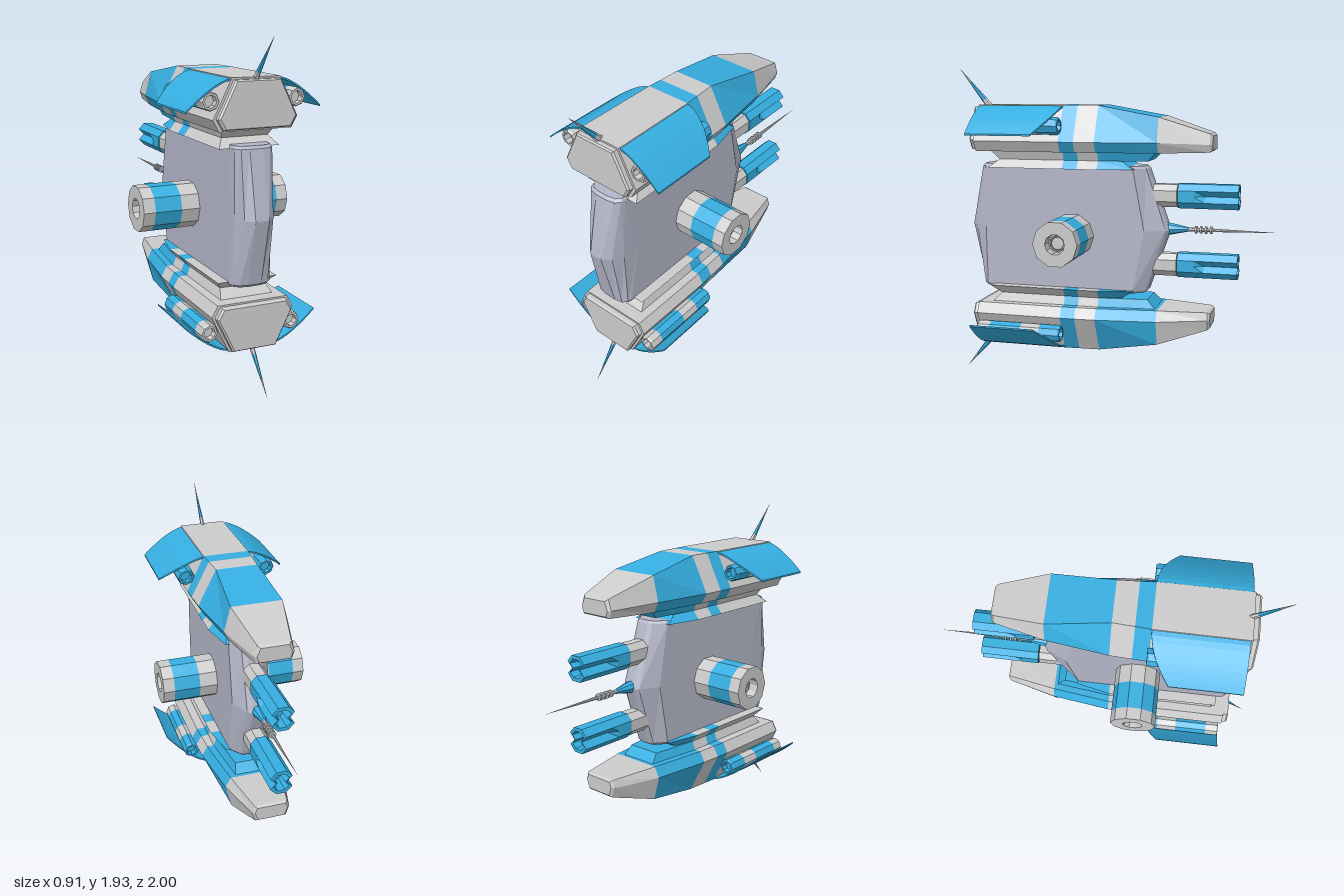
import * as THREE from 'three';

const material = (color) => new THREE.MeshStandardMaterial({ color, flatShading: true });
const grey = material(0xcccccc);
const blue = material(0x35aee0);
const slate = material(0xb4b6c8);
const glow = material(0xa8d8c8);
const MID = 0.967; // height of the symmetry plane

function add(parent, name, geometry, mat) {
  const mesh = new THREE.Mesh(geometry, mat);
  mesh.name = name;
  parent.add(mesh);
  return mesh;
}

function group(parent, name) {
  const g = new THREE.Group();
  g.name = name;
  parent.add(g);
  return g;
}

// Skin through equal-length rings of [x, y, z], with optional end caps, facing outward
function loft(rings, capStart = true, capEnd = true) {
  const V = rings.map((r) => r.map((p) => new THREE.Vector3(...p)));
  const centre = (pts) => pts.reduce((s, p) => s.add(p), new THREE.Vector3()).divideScalar(pts.length);
  const tris = [];
  const n = V[0].length;
  for (let i = 0; i < V.length - 1; i++) {
    for (let j = 0; j < n; j++) {
      const k = (j + 1) % n;
      tris.push([V[i][j], V[i][k], V[i + 1][k]], [V[i][j], V[i + 1][k], V[i + 1][j]]);
    }
  }
  const last = V[V.length - 1];
  const c0 = centre(V[0]), c1 = centre(last);
  for (let j = 0; j < n; j++) {
    const k = (j + 1) % n;
    if (capStart) tris.push([c0, V[0][k], V[0][j]]);
    if (capEnd) tris.push([c1, last[j], last[k]]);
  }
  const mid = centre(V.flat());
  let volume = 0;
  for (const [a, b, c] of tris) {
    volume += a.clone().sub(mid).dot(b.clone().sub(mid).cross(c.clone().sub(mid)));
  }
  const points = tris.flatMap((t) => (volume < 0 ? [t[0], t[2], t[1]] : t));
  const geometry = new THREE.BufferGeometry().setFromPoints(points);
  geometry.computeVertexNormals();
  return geometry;
}

// Turned part from [radius, height] pairs
const lathe = (profile, sides) =>
  new THREE.LatheGeometry(profile.map(([r, y]) => new THREE.Vector2(r, y)), sides);

// Mirror a half outline of [x, ...rest] into a closed ring
const mirrorRing = (half) => [...half, ...half.map(([x, ...r]) => [-x, ...r]).reverse()];

// Tall central slab with a faceted front edge
function addSlab(root) {
  const middle = [[0.04, 0.91], [0.085, 0.87], [0.11, 0.8], [0.115, 0.69], [0.115, -0.21], [0.06, -0.33], [0.03, -0.35]];
  const end = [[0.04, 0.83], [0.085, 0.82], [0.11, 0.795], [0.115, 0.77], [0.115, -0.14], [0.06, -0.21], [0.03, -0.22]];
  const ring = (half, y, s = 1) => mirrorRing(half.map(([x, z]) => [x * s, y, 0.3 + (z - 0.3) * (s + 1) / 2]));
  add(root, 'centralSlab', loft([
    ring(end, MID - 0.385, 0.94), ring(end, MID - 0.37), ring(middle, MID),
    ring(end, MID + 0.37), ring(end, MID + 0.385, 0.94),
  ]), slate);
}

// Hull ring: half widths and heights of the top, shoulder and bottom edges
const hullRing = ([z, t, yt, m, ym, b, yb], s = 1) =>
  mirrorRing([[t, yt], [m, ym], [b, yb]].map(([x, y]) => [x * s, 0.605 + (y - 0.605) * s, z]));

function addHull(pod) {
  const keys = [
    [0.815, 0.14, 0.743, 0.245, 0.53, 0.21, 0.468],
    [0.28, 0.138, 0.743, 0.245, 0.53, 0.21, 0.468],
    [0.19, 0.132, 0.743, 0.241, 0.53, 0.205, 0.468],
    [0.065, 0.125, 0.743, 0.235, 0.53, 0.2, 0.468],
    [-0.3, 0.15, 0.678, 0.188, 0.53, 0.155, 0.468],
    [-0.595, 0.095, 0.583, 0.115, 0.52, 0.1, 0.475],
    [-0.61, 0.08, 0.57, 0.1, 0.52, 0.088, 0.485],
  ];
  const bands = [[0, 1, grey], [1, 2, blue], [2, 3, grey], [3, 4, blue], [4, 6, grey]];
  for (const [a, b, mat] of bands) {
    add(pod, 'hullBand', loft(keys.slice(a, b + 1).map((k) => hullRing(k)), a === 0, b === 6), mat);
  }
  const plate = (z, s) => hullRing([z, ...keys[0].slice(1)], s);
  add(pod, 'frontPlate', loft([plate(0.81, 0.93), plate(0.84, 0.93), plate(0.85, 0.88)]), grey);
}

// Waisted keel joining hull and slab, banded like the hull
function addKeel(pod) {
  const upper = { w: [0.158, 0.138], y: [0.47, 0.416], front: [0.74, 0.69], back: [-0.28, -0.23] };
  const lower = { w: [0.138, 0.178], y: [0.416, 0.366], front: [0.69, 0.75], back: [-0.07, -0.15] };
  for (const { w, y, front, back } of [upper, lower]) {
    const cuts = [front, [0.28, 0.28], [0.19, 0.19], [0.065, 0.065], back];
    const rings = cuts.map((zs, i) =>
      mirrorRing([0, 1].map((k) => [w[k] * (i === 4 ? 0.75 : 1), y[k], zs[k]])));
    for (let i = 0; i < 4; i++) {
      add(pod, 'keelBand', loft([rings[i], rings[i + 1]], i === 0, i === 3), i % 2 ? blue : grey);
    }
  }
}

// Thin curved side panel
function addWing(pod, side) {
  const rings = [];
  for (let i = 0; i <= 8; i++) {
    const u = i / 8;
    const x = side * (0.135 + 0.255 * u);
    const y = 0.74 - 0.16 * u ** 1.5;
    const z = 0.28 + 0.12 * u * u;
    rings.push([[x, y, 0.805], [x, y, z], [x, y - 0.01, z], [x, y - 0.01, 0.805]]);
  }
  add(pod, 'wingPanel', loft(rings), blue);
}

// Banded tube under each wing, hollow at both ends
function addTube(pod, side) {
  const tube = group(pod, 'wingTube');
  tube.position.set(side * 0.25, 0.625, 0);
  tube.rotation.x = Math.PI / 2;
  const r = 0.052, ri = 0.034;
  const bands = [
    [[[0, 0.31], [ri, 0.31], [ri, 0.27], [r - 0.006, 0.27], [r, 0.28], [r, 0.4]], blue],
    [[[r, 0.4], [r, 0.52]], grey],
    [[[r, 0.52], [r, 0.72]], blue],
    [[[r, 0.72], [r, 0.79], [r - 0.006, 0.8], [ri, 0.8], [ri, 0.76], [0, 0.76]], grey],
  ];
  for (const [profile, mat] of bands) add(tube, 'tubeBand', lathe(profile, 8), mat);
}

// Leaning antenna at the front of the hull
function addAntenna(pod) {
  const antenna = group(pod, 'antenna');
  antenna.position.set(0, 0.733, 0.805);
  antenna.rotation.x = Math.atan2(0.195, 0.23);
  antenna.scale.x = 0.6;
  add(antenna, 'antennaBase', lathe([[0.022, -0.01], [0.018, 0.05]], 6), grey);
  add(antenna, 'antennaBlade', lathe([[0.018, 0.05], [0.008, 0.19]], 6), blue);
  add(antenna, 'antennaTip', lathe([[0.008, 0.19], [0, 0.302]], 6), grey);
}

// Rear gun with grooved sides and a hollow muzzle
function addRearGun(pod) {
  const ring = (z, g = 0, s = 1) => mirrorRing(
    [[0.03, 0.073], [0.065, 0.035], [0.065 - g, 0], [0.065, -0.035], [0.03, -0.073]]
      .map(([x, y]) => [x * s, 0.209 + y * s, z]));
  add(pod, 'gunMount', loft([ring(-0.2, 0, 0.93), ring(-0.395, 0, 0.93)]), grey);
  add(pod, 'gunBarrel', loft([
    ring(-0.4), ring(-0.5), ring(-0.56, 0.035), ring(-0.76, 0.035),
    ring(-0.76, 0.035, 0.72), ring(-0.66, 0.035, 0.6),
  ]), blue);
}

// Ten-sided engine on each flank
function addEngine(root, side) {
  const engine = group(root, 'sideEngine');
  engine.position.set(0, 0.925, 0.235);
  engine.rotation.z = -side * Math.PI / 2;
  const r = 0.135;
  add(engine, 'engineRoot', lathe([[0, 0.1], [r, 0.1], [r, 0.225]], 10), grey);
  add(engine, 'engineBand', lathe([[r, 0.225], [r, 0.385]], 10), blue);
  add(engine, 'engineRim', lathe([[r, 0.385], [r, 0.455], [0.06, 0.455], [0.06, 0.39], [0, 0.39]], 10), grey);
  const lamp = add(engine, 'engineLamp', new THREE.TorusGeometry(0.042, 0.006, 6, 16), glow);
  lamp.rotation.x = Math.PI / 2;
  lamp.position.y = 0.4;
}

// Long probe at the back with a stack of discs
function addProbe(root) {
  const probe = group(root, 'rearProbe');
  probe.position.y = 0.973;
  probe.rotation.x = -Math.PI / 2;
  add(probe, 'probeBase', lathe([[0.04, 0.3], [0.034, 0.36], [0.013, 0.46]], 8), blue);
  add(probe, 'probeRod', lathe([[0.013, 0.46], [0.01, 0.62], [0, 1]], 8), grey);
  for (let i = 0; i < 4; i++) {
    const disc = add(probe, 'probeDisc', new THREE.CylinderGeometry(0.023, 0.023, 0.012, 8), grey);
    disc.position.y = 0.505 + i * 0.03;
  }
}

export function createModel() {
  const root = new THREE.Group();
  root.name = 'spacecraft';
  addSlab(root);
  // The lower pod is the upper one turned half around the long axis
  for (const [name, turn] of [['upperPod', 0], ['lowerPod', Math.PI]]) {
    const pod = group(root, name);
    pod.position.y = MID;
    pod.rotation.z = turn;
    addHull(pod);
    addKeel(pod);
    addAntenna(pod);
    addRearGun(pod);
    for (const side of [1, -1]) {
      addWing(pod, side);
      addTube(pod, side);
    }
  }
  for (const side of [1, -1]) addEngine(root, side);
  addProbe(root);
  return root;
}
